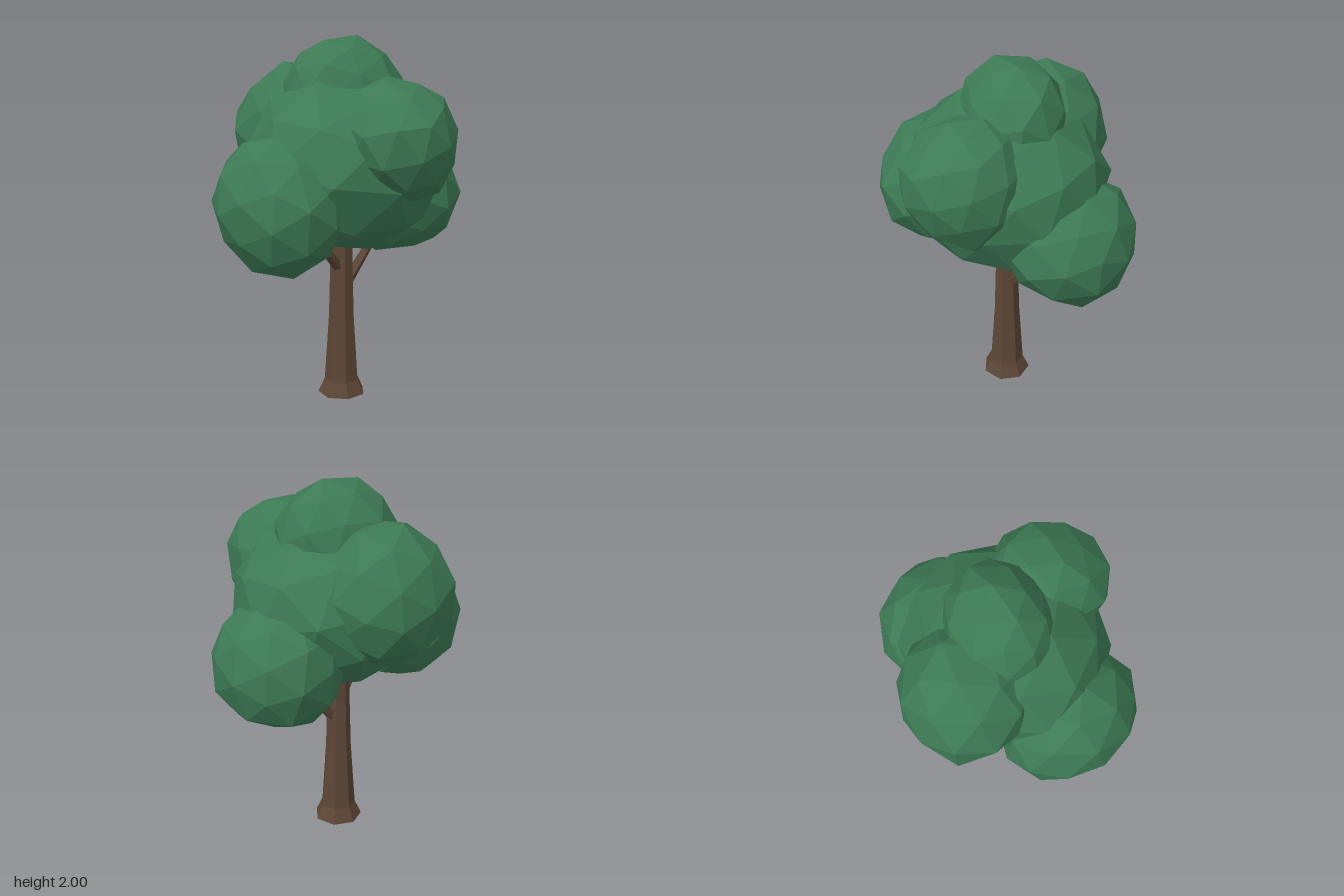
import * as THREE from 'three';

const leaf = new THREE.MeshStandardMaterial({ color: 0x3d7a55, flatShading: true });
const bark = new THREE.MeshStandardMaterial({ color: 0x5c4636, flatShading: true });

// Faceted ball of leaves that fills the box min..max; its surface swells or
// sinks smoothly towards each of the given lump points
function foliage(name, min, max, turn, lumps) {
  const lo = new THREE.Vector3(...min), hi = new THREE.Vector3(...max);
  const centre = lo.clone().add(hi).multiplyScalar(0.5);
  const half = hi.clone().sub(lo).multiplyScalar(0.5);
  const pulls = lumps.map((p) => {
    const dir = new THREE.Vector3(...p).sub(centre).divide(half);
    const reach = dir.length();
    return { dir: dir.normalize(), reach };
  });
  const geo = new THREE.IcosahedronGeometry(1, 1);
  geo.rotateY(turn * 1.3).rotateX(turn * 0.7);
  const pos = geo.attributes.position;
  const v = new THREE.Vector3();
  for (let i = 0; i < pos.count; i++) {
    v.fromBufferAttribute(pos, i).normalize();
    let sum = 0, weight = 0.15;
    for (const { dir, reach } of pulls) {
      const w = Math.exp(12 * (dir.dot(v) - 1));
      sum += w * (reach - 1);
      weight += w;
    }
    v.multiplyScalar(1 + sum / weight);
    pos.setXYZ(i, v.x, v.y, v.z);
  }
  // Fit the lumpy ball to its box
  geo.computeBoundingBox();
  const own = geo.boundingBox.getSize(new THREE.Vector3());
  const mid = geo.boundingBox.getCenter(new THREE.Vector3());
  geo.translate(-mid.x, -mid.y, -mid.z);
  geo.scale(2 * half.x / own.x, 2 * half.y / own.y, 2 * half.z / own.z);
  geo.computeVertexNormals();
  const mesh = new THREE.Mesh(geo, leaf);
  mesh.position.copy(centre);
  mesh.name = name;
  return mesh;
}

// Tapered five-sided branch between two points
function branch(name, from, to) {
  const a = new THREE.Vector3(...from), b = new THREE.Vector3(...to);
  const dir = b.clone().sub(a);
  const mesh = new THREE.Mesh(new THREE.CylinderGeometry(0.02, 0.034, dir.length(), 5), bark);
  mesh.position.copy(a).add(b).multiplyScalar(0.5);
  mesh.quaternion.setFromUnitVectors(new THREE.Vector3(0, 1, 0), dir.normalize());
  mesh.name = name;
  return mesh;
}

export function createModel() {
  const tree = new THREE.Group();
  tree.name = 'tree';

  // Seven-sided trunk with a flared foot
  const profile = [[0, 0], [0.132, 0], [0.096, 0.08], [0.072, 0.45], [0.064, 0.75], [0.064, 0.98], [0, 0.98]]
    .map(([r, y]) => new THREE.Vector2(r, y));
  const trunk = new THREE.Mesh(new THREE.LatheGeometry(profile, 7, -0.2), bark);
  trunk.name = 'trunk';
  trunk.position.set(0.01, 0, -0.026);
  tree.add(trunk);

  // Branches reaching into the crown
  tree.add(
    branch('leftBranch', [0.02, 0.61, -0.03], [0.26, 0.91, -0.07]),
    branch('rightBranch', [0, 0.72, -0.02], [-0.18, 0.92, 0.08]),
  );

  // Crown: one core and five outer clumps
  tree.add(
    foliage('crownCore', [-0.52, 0.86, -0.5], [0.56, 1.81, 0.52], 1, [
      [-0.22, 1.8, 0], [0.4, 1.66, 0], [0.56, 1.42, -0.1], [0.49, 1.12, 0], [0.35, 0.92, 0],
      [-0.14, 0.86, 0], [-0.49, 1.53, 0], [0.36, 1.33, -0.46], [0.46, 1.33, 0.28], [-0.18, 1.2, 0.5],
    ]),
    foliage('rightClump', [-0.75, 0.77, -0.3], [-0.08, 1.53, 0.49], 2, [
      [-0.71, 1.36, 0.1], [-0.57, 1.52, 0.1], [-0.14, 0.92, 0.1], [-0.35, 0.77, 0.1], [-0.69, 0.98, 0.1],
      [-0.65, 1.15, 0.37], [-0.26, 1.15, 0.48], [-0.55, 1.15, -0.27], [-0.42, 0.78, 0.22],
    ]),
    foliage('leftClump', [0.06, 0.76, -0.51], [0.75, 1.43, 0.23], 3, [
      [0.53, 1.41, -0.14], [0.74, 1.22, -0.14], [0.7, 0.85, -0.14], [0.14, 0.83, -0.14], [0.65, 1.1, 0.15],
      [0.66, 1.1, -0.41], [0.42, 0.83, -0.43], [0.42, 0.86, 0.1], [0.42, 1.39, 0.09], [0.42, 1.32, -0.47],
    ]),
    foliage('frontClump', [-0.15, 1.15, 0.0], [0.46, 1.81, 0.66], 4, [
      [0, 1.76, 0.33], [0.37, 1.71, 0.33], [0.46, 1.5, 0.36], [0.37, 1.18, 0.33], [-0.02, 1.26, 0.33],
      [0.16, 1.45, 0.66], [0.16, 1.74, 0.45], [0.16, 1.19, 0.49], [-0.05, 1.48, 0.6], [0.35, 1.48, 0.57],
    ]),
    foliage('backClump', [-0.46, 1.08, -0.665], [0.25, 1.83, 0.04], 5, [
      [-0.42, 1.46, -0.57], [-0.1, 1.46, -0.665], [0.2, 1.46, -0.52], [-0.38, 1.72, -0.33],
      [-0.1, 1.83, -0.48], [-0.1, 1.73, -0.59], [-0.1, 1.19, -0.59], [-0.1, 1.33, -0.65],
    ]),
    foliage('topClump', [-0.3, 1.37, -0.33], [0.35, 2.0, 0.24], 6, [
      [-0.25, 1.83, -0.05], [-0.1, 1.99, -0.05], [0.25, 1.96, -0.05], [0.33, 1.84, -0.05],
      [0.02, 1.84, 0.19], [0.02, 1.96, -0.22], [0.28, 1.68, 0.2], [-0.14, 1.68, -0.31], [-0.22, 1.68, 0.1],
    ]),
  );
  return tree;
}
